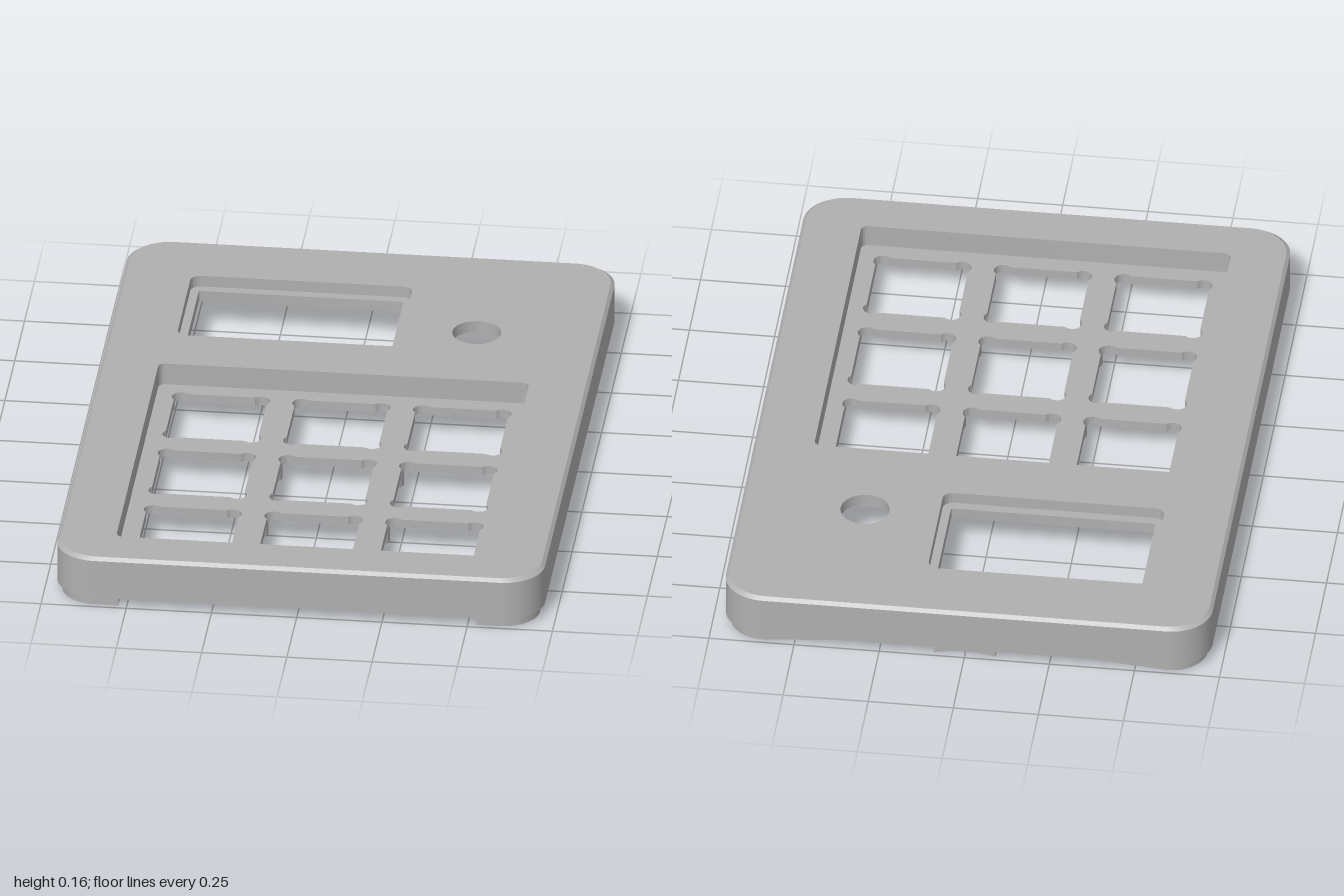
import * as THREE from 'three';
import { toCreasedNormals } from 'three/addons/utils/BufferGeometryUtils.js';

const KEY_X = [-0.356, -0.002, 0.352];
const KEY_Z = [-0.042, 0.312, 0.667];

// Rounded rectangle centred at (x, z); the shape's y axis is -z
function roundRect(x, z, hw, hd, r, Type = THREE.Path) {
  const p = new Type(), y = -z, q = Math.PI / 2;
  p.absarc(x + hw - r, y + hd - r, r, 0, q, false);
  p.absarc(x - hw + r, y + hd - r, r, q, 2 * q, false);
  p.absarc(x - hw + r, y - hd + r, r, 2 * q, 3 * q, false);
  p.absarc(x + hw - r, y - hd + r, r, 3 * q, 4 * q, false);
  p.closePath();
  return p;
}

function circle(x, z, r) {
  return new THREE.Path().absarc(x, -z, r, 0, Math.PI * 2, false);
}

// Square switch cutout with a small round relief in each corner
function keyHole(x, z) {
  const p = new THREE.Path(), half = 0.136, c = 0.117, r = 0.027;
  const a = Math.acos((half - c) / r);
  for (let i = 0; i < 4; i++) {
    const mid = Math.PI / 4 + i * Math.PI / 2;
    const cx = x + Math.SQRT2 * c * Math.cos(mid), cy = -z + Math.SQRT2 * c * Math.sin(mid);
    const base = i * Math.PI / 2;
    p.absarc(cx, cy, r, base - a, base + Math.PI / 2 + a, false);
  }
  p.closePath();
  return p;
}

// Flat layer between two heights
function slab(shape, y0, y1) {
  const g = new THREE.ExtrudeGeometry(shape, { depth: y1 - y0, bevelEnabled: false, curveSegments: 10 });
  g.rotateX(-Math.PI / 2);
  g.translate(0, y0, 0);
  return g;
}

export function createModel() {
  const model = new THREE.Group();
  model.name = 'keypadCaseTop';
  const grey = new THREE.MeshStandardMaterial({ color: 0xb0b0b0 });
  grey.name = 'grey plastic';

  const add = (name, geometry) => {
    const mesh = new THREE.Mesh(toCreasedNormals(geometry, 0.5), grey);
    mesh.name = name;
    model.add(mesh);
    return mesh;
  };
  const body = (holes) => {
    const s = roundRect(0, 0, 0.715, 1, 0.12, THREE.Shape);
    s.holes.push(...holes);
    return s;
  };

  const keyRecess = () => roundRect(-0.003, 0.313, 0.543, 0.545, 0.02);
  const windowRim = () => roundRect(-0.19, -0.602, 0.325, 0.187, 0.03);
  const windowHole = () => roundRect(-0.19, -0.602, 0.3, 0.158, 0.005);
  const windowPocket = () => roundRect(-0.19, -0.602, 0.36, 0.21, 0.01);
  const buttonHole = () => circle(0.352, -0.528, 0.072);
  const buttonPocket = () => roundRect(0.352, -0.528, 0.12, 0.14, 0.01);
  const keyHoles = KEY_X.flatMap((x) => KEY_Z.map((z) => keyHole(x, z)));

  // Side wall around the hollow underside
  add('sideWall', slab(body([roundRect(0, 0, 0.65, 0.93, 0.07)]), 0.03, 0.065));
  // Switch plate, opened below the window and button
  add('switchPlate', slab(body([...keyHoles, windowPocket(), buttonPocket()]), 0.065, 0.092));
  // Upper body around the keypad recess
  add('upperBody', slab(body([keyRecess(), windowHole(), buttonPocket()]), 0.092, 0.125));
  add('facePlate', slab(body([keyRecess(), windowRim(), buttonHole()]), 0.125, 0.15));

  // Top face with a chamfered outer edge
  const top = slab(body([keyRecess(), windowRim(), buttonHole()]), 0.15, 0.16);
  const pos = top.attributes.position;
  for (let i = 0; i < pos.count; i++) {
    const x = pos.getX(i), z = pos.getZ(i);
    if (pos.getY(i) > 0.155 && (Math.abs(x) > 0.58 || Math.abs(z) > 0.87)) {
      pos.setX(i, x * 0.705 / 0.715);
      pos.setZ(i, z * 0.99);
    }
  }
  top.computeVertexNormals();
  add('chamferedTop', top);

  // Inset lip: two mirrored halves, open at the front
  const lip = new THREE.Shape();
  lip.moveTo(0.09, 0.985);
  lip.absarc(0.595, 0.88, 0.105, Math.PI / 2, 0, true);
  lip.absarc(0.595, -0.88, 0.105, 0, -Math.PI / 2, true);
  lip.lineTo(0.525, -0.985);
  lip.lineTo(0.525, -0.93);
  lip.absarc(0.58, -0.86, 0.07, -Math.PI / 2, 0, false);
  lip.absarc(0.58, 0.86, 0.07, 0, Math.PI / 2, false);
  lip.lineTo(0.09, 0.93);
  for (const side of [1, -1]) {
    const pts = lip.getPoints(10).map((p) => new THREE.Vector2(p.x * side, p.y));
    add(side > 0 ? 'leftLip' : 'rightLip', slab(new THREE.Shape(pts), 0, 0.03));
  }

  // Back of the lip, with a shallow arched cable notch
  const arch = new THREE.Shape();
  arch.moveTo(-0.09, 0);
  arch.bezierCurveTo(-0.04, 0.015, 0.04, 0.015, 0.09, 0);
  arch.lineTo(0.09, 0.03);
  arch.lineTo(-0.09, 0.03);
  const bridge = new THREE.ExtrudeGeometry(arch, { depth: 0.055, bevelEnabled: false });
  bridge.translate(0, 0, -0.985);
  add('backLipArch', bridge);

  // Hollow screw posts under the plate
  const profile = [[0, 0.05], [0.018, 0.05], [0.018, 0], [0.037, 0], [0.037, 0.07]]
    .map(([x, y]) => new THREE.Vector2(x, y));
  const posts = [[0.178, 0.135], [-0.178, 0.135], [0.178, 0.49], [-0.178, 0.49],
    [0.54, -0.26], [-0.54, -0.26], [0.52, -0.87]];
  for (const [x, z] of posts) {
    add('screwPost', new THREE.LatheGeometry(profile, 24)).position.set(x, 0, z);
  }
  return model;
}
